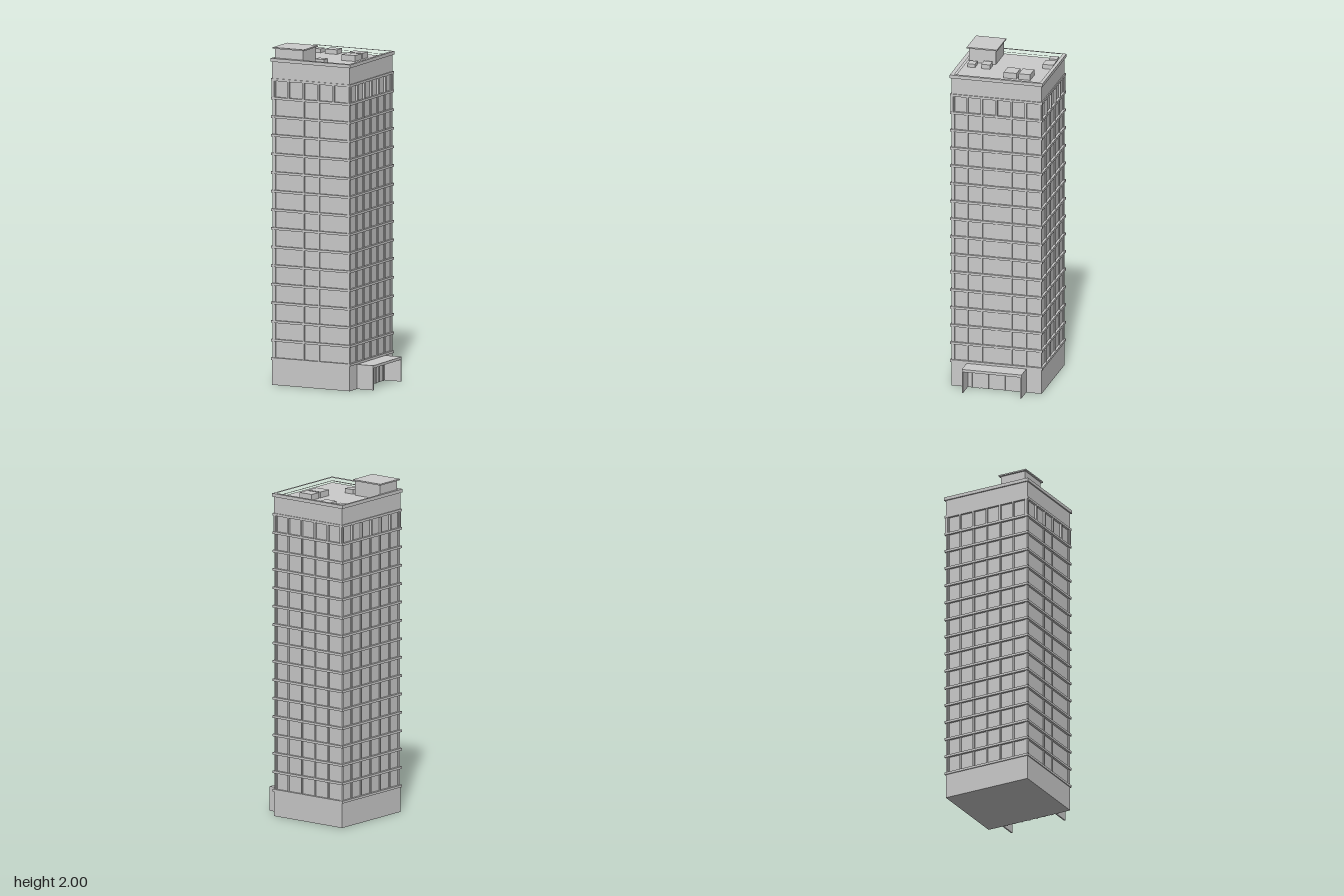
import * as THREE from 'three';

const CX = -0.05;                 // tower centre in x
const HX = 0.255, HZ = 0.274;     // half size of the tower walls
const BASE = 0.155, STEP = 0.1104, FLOORS = 15;
const WALL_TOP = BASE + STEP * FLOORS;

export function createModel() {
  const model = new THREE.Group();
  const mat = new THREE.MeshStandardMaterial({ color: 0xcccccc, flatShading: true });

  // box given by its limits on each axis
  function box(name, x0, x1, y0, y1, z0, z1, parent = model) {
    const mesh = new THREE.Mesh(new THREE.BoxGeometry(x1 - x0, y1 - y0, z1 - z0), mat);
    mesh.position.set((x0 + x1) / 2, (y0 + y1) / 2, (z0 + z1) / 2);
    mesh.name = name;
    parent.add(mesh);
    return mesh;
  }
  // slab around the tower, grown outward from the walls
  const slab = (name, y0, y1, grow) =>
    box(name, CX - HX - grow, CX + HX + grow, y0, y1, -HZ - grow, HZ + grow);

  // rectangular ring: outer and inner limits, extruded upward
  function ring(name, grow, y0, y1) {
    const rect = (target, x0, x1, z0, z1) => target
      .moveTo(x0, -z0).lineTo(x1, -z0).lineTo(x1, -z1).lineTo(x0, -z1).closePath();
    const shape = rect(new THREE.Shape(), CX - HX - grow, CX + HX + grow, -HZ - grow, HZ + grow);
    shape.holes.push(rect(new THREE.Path(), -0.299, 0.195, -0.262, 0.257));
    const geo = new THREE.ExtrudeGeometry(shape, { depth: y1 - y0, bevelEnabled: false });
    geo.rotateX(-Math.PI / 2);
    const mesh = new THREE.Mesh(geo, mat);
    mesh.position.y = y0;
    mesh.name = name;
    model.add(mesh);
  }

  // main volumes
  slab('groundFloor', 0, BASE, 0);
  slab('windowCore', BASE, WALL_TOP, -0.008);
  slab('topStorey', WALL_TOP, 1.905, 0);
  ring('parapetWall', 0, 1.905, 1.917);
  ring('parapetCap', 0.008, 1.917, 1.937);

  // floor bands
  for (let i = 0; i <= FLOORS; i++) {
    const y = BASE + i * STEP;
    slab('floorBand', y - 0.007, y + 0.007, 0.006);
  }

  // mullions: each facade is a group facing its own +z
  const facades = [
    { name: 'frontFacade', angle: 0, half: HX, dist: HZ, bays: 5, wide: true },
    { name: 'rightFacade', angle: Math.PI / 2, half: HZ, dist: HX, bays: 6 },
    { name: 'backFacade', angle: Math.PI, half: HX, dist: HZ, bays: 5 },
    { name: 'leftFacade', angle: -Math.PI / 2, half: HZ, dist: HX, bays: 6 },
  ];
  for (const f of facades) {
    const group = new THREE.Group();
    group.name = f.name;
    group.position.x = CX;
    group.rotation.y = f.angle;
    const inner = f.half - 0.007;
    const frameY = WALL_TOP - STEP;
    for (let i = 0; i <= f.bays; i++) {
      const u = -inner + (2 * inner * i) / f.bays;
      // the front keeps only its middle and corner mullions below the top row
      const skip = f.wide && (i === 1 || i === f.bays - 1);
      if (!skip) box('mullion', u - 0.005, u + 0.005, BASE, frameY, f.dist - 0.02, f.dist - 0.001, group);
      box('topMullion', u - 0.006, u + 0.006, frameY, WALL_TOP, f.dist - 0.02, f.dist + 0.005, group);
    }
    model.add(group);
  }

  // rooftop penthouse with a thin overhanging roof
  box('penthouse', -0.296, -0.112, 1.9, 1.992, 0.091, 0.254);
  box('penthouseRoof', -0.307, -0.102, 1.992, 2, 0.081, 0.265);

  // rooftop equipment: x0, x1, z0, z1, top
  const units = [
    [-0.281, -0.23, -0.247, -0.198, 1.928],
    [-0.196, -0.119, -0.256, -0.19, 1.932],
    [0.002, 0.093, -0.174, -0.104, 1.94],
    [0.002, 0.093, -0.091, -0.013, 1.94],
    [-0.086, -0.025, 0.103, 0.155, 1.932],
    [-0.084, -0.028, 0.195, 0.241, 1.926],
  ];
  for (const [x0, x1, z0, z1, top] of units) box('roofUnit', x0, x1, 1.9, top, z0, z1);

  // entrance canopy: roof on two side walls, open at the front
  const wall = CX + HX;
  box('canopyRoof', wall, 0.312, 0.13, 0.146, -0.181, 0.181);
  for (const s of [-1, 1]) {
    const z = s * 0.177;
    box('canopyWall', wall, 0.312, 0, 0.13, z - 0.004, z + 0.004);
  }

  // entrance door frames under the canopy
  for (let i = 0; i <= 6; i++) {
    const z = -0.15 + i * 0.05;
    box('doorPost', wall, wall + 0.006, 0, 0.105, z - 0.004, z + 0.004);
  }
  box('doorHeader', wall, wall + 0.006, 0.105, 0.113, -0.154, 0.154);

  return model;
}
